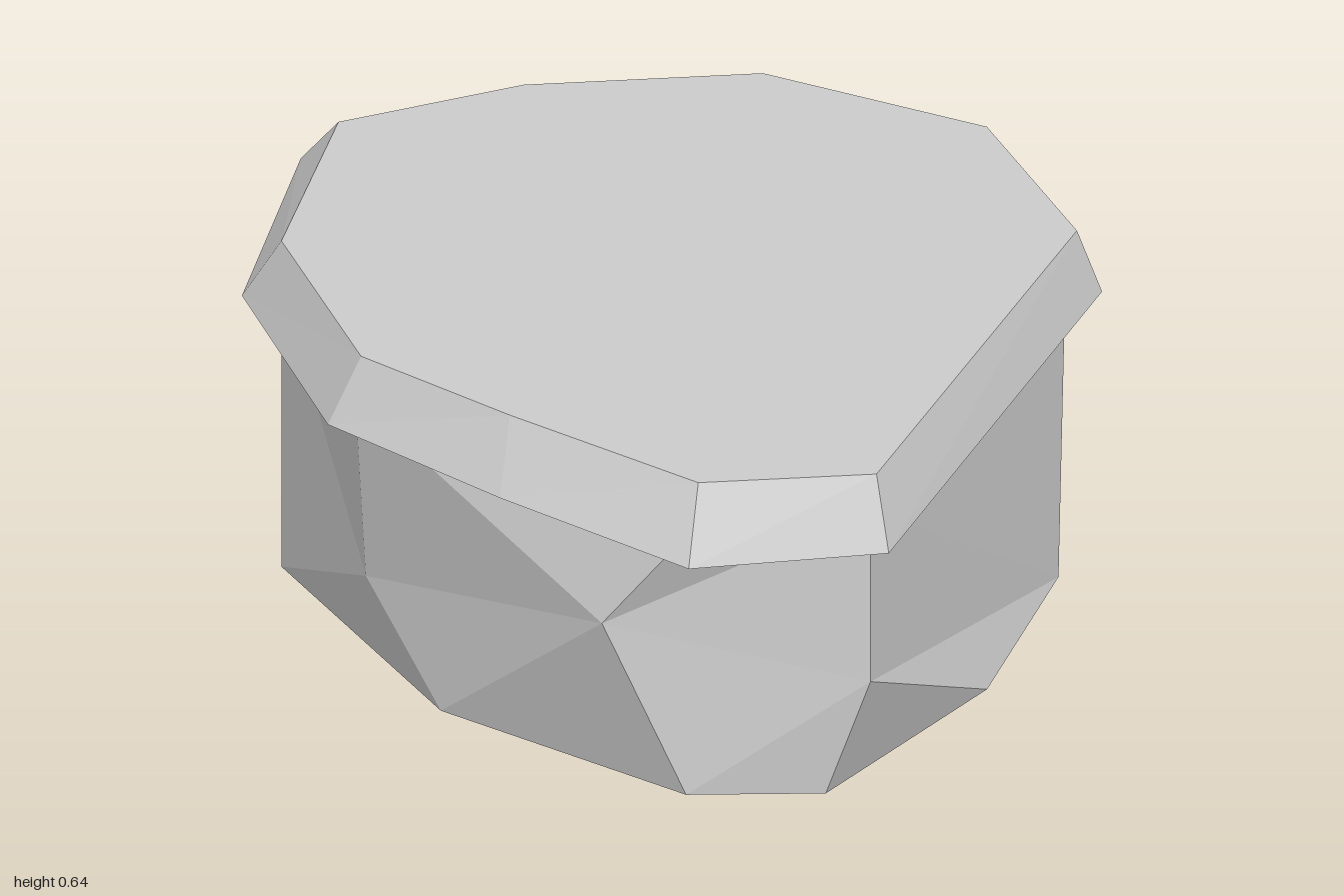
import * as THREE from 'three';

const material = new THREE.MeshStandardMaterial({
  color: 0xcccccc, flatShading: true, side: THREE.DoubleSide,
});

// Lifts a list of [x, z] corners to height y.
const ring = (outline, y) => outline.map(([x, z]) => [x, y, z]);

// Triangle fan over n ring corners starting at index s.
const fan = (s, n) => Array.from({ length: n - 2 }, (_, i) => [s, s + i + 1, s + i + 2]);

// Flat-shaded shell; every triangle is turned to face away from the middle.
function facetedMesh(name, points, faces, middle) {
  const v = points.map((p) => new THREE.Vector3(...p));
  const positions = [];
  for (const [a, b, c] of faces) {
    const tri = new THREE.Triangle(v[a], v[b], v[c]);
    const normal = tri.getNormal(new THREE.Vector3());
    const outward = tri.getMidpoint(new THREE.Vector3()).sub(middle);
    const order = normal.dot(outward) > 0 ? [a, b, c] : [a, c, b];
    for (const i of order) positions.push(v[i].x, v[i].y, v[i].z);
  }
  const geometry = new THREE.BufferGeometry();
  geometry.setAttribute('position', new THREE.Float32BufferAttribute(positions, 3));
  geometry.computeVertexNormals();
  const mesh = new THREE.Mesh(geometry, material);
  mesh.name = name;
  return mesh;
}

// Overhanging slab: wide rim below, bevelled in to the flat top.
function createCap() {
  const rim = [[0, 1], [0.36, 0.94], [0.77, -0.2], [0.625, -0.73], [0.18, -1],
    [-0.3, -1], [-0.65, -0.82], [-0.77, -0.22], [-0.63, 0.35], [-0.33, 0.68]];
  const top = [[0.02, 0.89], [0.34, 0.86], [0.725, -0.2], [0.575, -0.66], [0.18, -0.905],
    [-0.25, -0.865], [-0.585, -0.71], [-0.7, -0.19], [-0.57, 0.32], [-0.31, 0.585]];
  const n = rim.length;
  const faces = [...fan(0, n), ...fan(n, n)];
  for (let i = 0; i < n; i++) {
    const j = (i + 1) % n;
    faces.push([i, j, n + j], [i, n + j, n + i]);
  }
  return facetedMesh('cap', [...ring(rim, 0.523), ...ring(top, 0.643)], faces,
    new THREE.Vector3(0, 0.58, 0));
}

// Chiselled rock wall, open below: foot ring, upper ring tucked into the cap,
// and a few corners between them.
function createRock() {
  const foot = [[0, 0.82], [0.25, 0.82], [0.55, 0.37], [0.69, -0.12], [0.54, -0.72],
    [0.32, -0.9], [-0.56, -0.78], [-0.7, -0.2], [-0.43, 0.44]];
  const upper = [[0.03, 0.85], [0.33, 0.82], [0.705, -0.21], [0.565, -0.645], [0.21, -0.87],
    [-0.29, -0.85], [-0.59, -0.72], [-0.7, -0.2], [-0.58, 0.31]];
  const chips = [[0.33, 0.225, 0.835], [-0.15, 0.32, 0.78], [-0.56, 0.19, 0.27],
    [-0.42, 0.21, -0.84], [0.28, 0.34, -0.8]];
  const [A, B, C, D, E] = [18, 19, 20, 21, 22];
  const u = (i) => 9 + i;
  const faces = [
    // left side
    [u(1), u(2), 3], [u(1), 3, A], [A, 3, 2], [A, 2, 1], [u(2), u(3), 3], [u(3), 4, 3],
    // back
    [u(3), 5, 4], [u(3), E, 5], [u(3), u(4), E], [u(4), u(5), E], [u(5), D, E],
    [E, D, 5], [D, 6, 5], [u(5), u(6), D],
    // right side
    [u(6), u(7), D], [u(7), 6, D], [u(7), 7, 6], [u(7), 7, C], [7, 8, C], [u(7), u(8), C],
    // front
    [u(8), B, C], [C, B, 8], [B, 0, 8], [u(8), u(0), B], [u(0), u(1), B],
    [u(1), A, B], [B, A, 0], [A, 1, 0],
  ];
  return facetedMesh('rock', [...ring(foot, 0), ...ring(upper, 0.555), ...chips], faces,
    new THREE.Vector3(0, 0.26, 0));
}

export function createModel() {
  const group = new THREE.Group();
  group.name = 'cappedRock';
  group.add(createRock(), createCap());
  return group;
}
